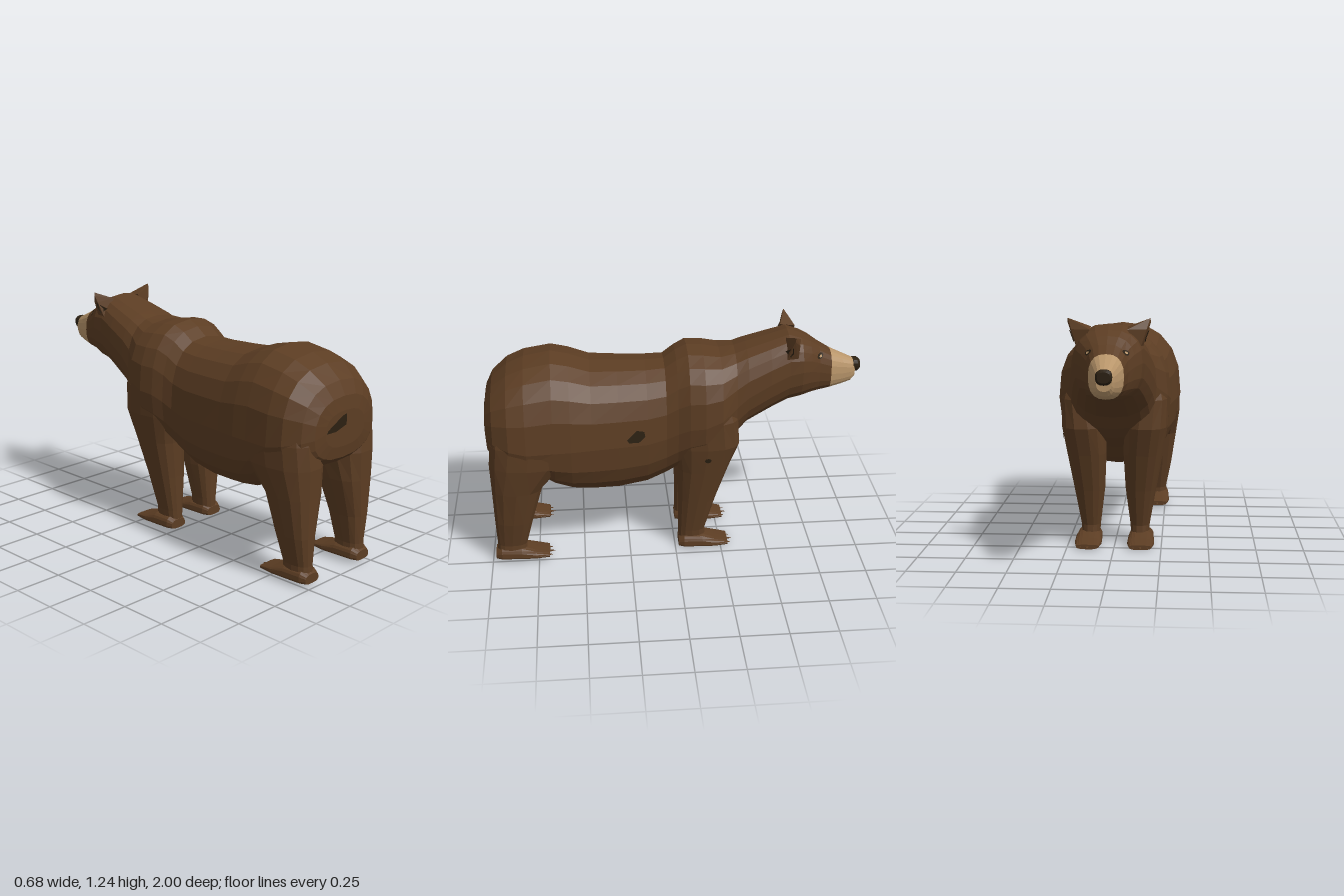
import * as THREE from 'three';
import { ConvexGeometry } from 'three/addons/geometries/ConvexGeometry.js';

const V = (x, y, z) => new THREE.Vector3(x, y, z);
const SIDES = 20;
const spow = (v, p) => Math.sign(v) * Math.abs(v) ** p;

// Skin a list of rings, close both ends, and give it flat facets facing outward
function loft(rings) {
  const n = rings[0].length, tris = [];
  const centre = r => r.reduce((a, p) => a.add(p), V(0, 0, 0)).divideScalar(n);
  const first = rings[0], last = rings[rings.length - 1];
  const c0 = centre(first), c1 = centre(last);
  for (let j = 0; j < n; j++) {
    const k = (j + 1) % n;
    for (let i = 0; i < rings.length - 1; i++) {
      const a = rings[i][j], b = rings[i][k], c = rings[i + 1][k], d = rings[i + 1][j];
      tris.push([a, b, c], [a, c, d]);
    }
    tris.push([c0, first[k], first[j]], [c1, last[j], last[k]]);
  }
  const volume = tris.reduce((s, [a, b, c]) => s + a.dot(b.clone().cross(c)), 0);
  const pts = tris.flatMap(([a, b, c]) => (volume > 0 ? [a, b, c] : [a, c, b]));
  const g = new THREE.BufferGeometry().setFromPoints(pts);
  g.computeVertexNormals();
  return g;
}

// Ring across z: z, top, bottom, half width, height of the widest point
function bodyRing([z, top, bottom, w, mid], cx = 0, p = 0.8) {
  return Array.from({ length: SIDES }, (_, i) => {
    const a = (i / SIDES) * Math.PI * 2, s = spow(Math.sin(a), p);
    return V(cx + w * spow(Math.cos(a), p), mid + s * (s > 0 ? top - mid : mid - bottom), z);
  });
}

// Ring across y: y, z range, x range
function legRing([y, z0, z1, x0, x1], side) {
  return Array.from({ length: 14 }, (_, i) => {
    const a = (i / 14) * Math.PI * 2;
    return V(side * ((x0 + x1) / 2 + (x1 - x0) / 2 * spow(Math.cos(a), 0.8)), y,
      (z0 + z1) / 2 + (z1 - z0) / 2 * spow(Math.sin(a), 0.8));
  });
}

const BODY = [
  [0.995, 0.86, 0.68, 0.15, 0.77], [0.985, 0.93, 0.62, 0.22, 0.75], [0.95, 1.0, 0.59, 0.28, 0.74],
  [0.87, 1.07, 0.57, 0.33, 0.72], [0.78, 1.11, 0.53, 0.34, 0.7], [0.64, 1.135, 0.42, 0.33, 0.7],
  [0.55, 1.115, 0.38, 0.325, 0.7], [0.44, 1.075, 0.363, 0.31, 0.7], [0.3, 1.068, 0.36, 0.292, 0.7],
  [0.15, 1.065, 0.385, 0.272, 0.7], [0.05, 1.07, 0.43, 0.257, 0.72], [-0.01, 1.115, 0.47, 0.265, 0.75],
  [-0.07, 1.145, 0.51, 0.285, 0.78], [-0.15, 1.14, 0.55, 0.295, 0.79], [-0.24, 1.123, 0.59, 0.28, 0.82],
  [-0.32, 1.13, 0.65, 0.225, 0.87], [-0.38, 1.15, 0.72, 0.215, 0.92], [-0.5, 1.185, 0.785, 0.195, 0.98],
  [-0.6, 1.215, 0.832, 0.175, 1.02], [-0.67, 1.19, 0.845, 0.165, 1.03], [-0.72, 1.165, 0.855, 0.135, 1.02],
  [-0.77, 1.13, 0.863, 0.103, 1.0], [-0.835, 1.09, 0.875, 0.085, 0.98],
];
const MUZZLE = [
  [-0.835, 1.09, 0.875, 0.085, 0.98], [-0.9, 1.06, 0.89, 0.063, 0.97],
  [-0.95, 1.037, 0.905, 0.048, 0.97], [-0.972, 1.025, 0.93, 0.037, 0.975],
];
const NOSE = [
  [-0.962, 1.033, 0.965, 0.038, 1.0], [-0.985, 1.033, 0.96, 0.04, 1.0], [-1.0, 1.022, 0.972, 0.03, 1.0],
];
const REAR_LEG = [
  [0.04, 0.81, 0.975, 0.15, 0.26], [0.1, 0.81, 0.97, 0.155, 0.255], [0.25, 0.77, 0.975, 0.135, 0.285],
  [0.45, 0.71, 0.98, 0.085, 0.315], [0.6, 0.58, 0.985, 0.06, 0.336], [0.72, 0.55, 0.975, 0.08, 0.335],
  [0.85, 0.6, 0.95, 0.1, 0.3],
];
const FRONT_LEG = [
  [0.03, -0.17, -0.02, 0.085, 0.18], [0.1, -0.165, -0.02, 0.08, 0.185], [0.3, -0.22, -0.018, 0.055, 0.22],
  [0.5, -0.285, -0.012, 0.045, 0.255], [0.65, -0.34, 0.01, 0.05, 0.28], [0.8, -0.33, 0.03, 0.08, 0.285],
  [0.95, -0.28, 0, 0.1, 0.245],
];

export function createModel() {
  const bear = new THREE.Group();
  bear.name = 'bear';
  const material = (name, color, side = THREE.FrontSide) => {
    const m = new THREE.MeshStandardMaterial({ color, side });
    m.name = name;
    return m;
  };
  const fur = material('brown fur', 0x5c3d23);
  const tan = material('tan muzzle', 0xb8956a, THREE.DoubleSide);
  const dark = material('dark brown', 0x2b2012, THREE.DoubleSide);
  const add = (name, geometry, mat) => {
    const mesh = new THREE.Mesh(geometry, mat);
    mesh.name = name;
    bear.add(mesh);
    return mesh;
  };

  // Trunk, neck and head in one skin, then the snout
  add('body', loft(BODY.map(r => bodyRing(r))), fur);
  add('muzzle', loft(MUZZLE.map(r => bodyRing(r))), tan);
  add('nose', loft(NOSE.map(r => bodyRing(r))), dark);

  // Paw: heel at z, pointing to -z, with three short toes
  const paw = (name, cx, floor, heel, length) => {
    const rows = [[0, 0.05, 0.05], [0.03, 0.07, 0.065], [0.13, 0.07, 0.07], [0.2, 0.045, 0.072], [0.27, 0.025, 0.06]];
    add(name, loft(rows.map(([d, h, w]) =>
      bodyRing([heel - d * length / 0.3, floor + h, floor, w, floor + 0.018], cx, 0.7))), fur);
    for (const t of [-1, 0, 1]) {
      const toe = new THREE.ConeGeometry(0.019, 0.07, 6).rotateX(-Math.PI / 2).scale(1, 0.55, 1);
      toe.translate(cx + t * 0.037, floor + 0.012, heel - length + 0.034 + Math.abs(t) * 0.012);
      add(name + 'Toe', toe.toNonIndexed(), fur).geometry.computeVertexNormals();
    }
  };

  for (const s of [1, -1]) {
    add('rearLeg', loft(REAR_LEG.map(r => legRing(r, s))), fur);
    add('frontLeg', loft(FRONT_LEG.map(r => legRing(r, s))), fur);
    paw('rearPaw', s * 0.203, 0.015, 0.98, 0.32);
    paw('frontPaw', s * 0.14, 0, -0.02, 0.3);
    add('ear', new ConvexGeometry([
      V(s * 0.09, 1.2, -0.58), V(s * 0.09, 1.19, -0.66), V(s * 0.2, 1.243, -0.615), V(s * 0.203, 1.225, -0.61),
      V(s * 0.16, 1.09, -0.575), V(s * 0.15, 1.09, -0.64), V(s * 0.192, 1.19, -0.6), V(s * 0.182, 1.19, -0.64),
    ]), fur);
  }

  // Painted patches: an outline laid onto the skin along x or z
  const solid = [...bear.children];
  const ray = new THREE.Raycaster();
  const paint = (name, outline, axis, sign, mat, lift = 0.006) => {
    const g = new THREE.ShapeGeometry(new THREE.Shape(outline.map(([u, v]) => new THREE.Vector2(u, v))));
    const p = g.attributes.position;
    const dir = axis === 'x' ? V(-sign, 0, 0) : V(0, 0, -sign);
    for (let i = 0; i < p.count; i++) {
      const u = p.getX(i), v = p.getY(i);
      ray.set(axis === 'x' ? V(sign * 3, v, u) : V(u, v, sign * 3), dir);
      const hit = ray.intersectObjects(solid, false)[0];
      if (!hit) continue;
      const q = hit.point.addScaledVector(dir, -lift);
      p.setXYZ(i, q.x, q.y, q.z);
    }
    g.computeVertexNormals();
    add(name, g, mat);
  };
  const disc = (u, v, r) => Array.from({ length: 8 }, (_, i) =>
    [u + r * Math.cos(i * Math.PI / 4), v + r * 0.8 * Math.sin(i * Math.PI / 4)]);

  for (const s of [1, -1]) {
    paint('eye', disc(-0.768, 1.09, 0.018), 'x', s, dark, 0.005);
    paint('eyeShine', disc(-0.77, 1.09, 0.008), 'x', s, tan, 0.009);
    paint('innerEar', [[-0.57, 1.15], [-0.605, 1.185], [-0.61, 1.15], [-0.595, 1.125]], 'x', s, dark);
  }
  paint('flankPatch', [[0.26, 0.74], [0.21, 0.79], [0.17, 0.78], [0.165, 0.75], [0.2, 0.72], [0.25, 0.725]], 'x', 1, dark);
  paint('legPatch', disc(-0.165, 0.59, 0.018), 'x', 1, dark);
  paint('rumpPatch', [[-0.15, 0.77], [-0.14, 0.785], [-0.03, 0.84], [0, 0.845], [0, 0.79], [-0.08, 0.768]], 'z', 1, dark);

  return bear;
}
